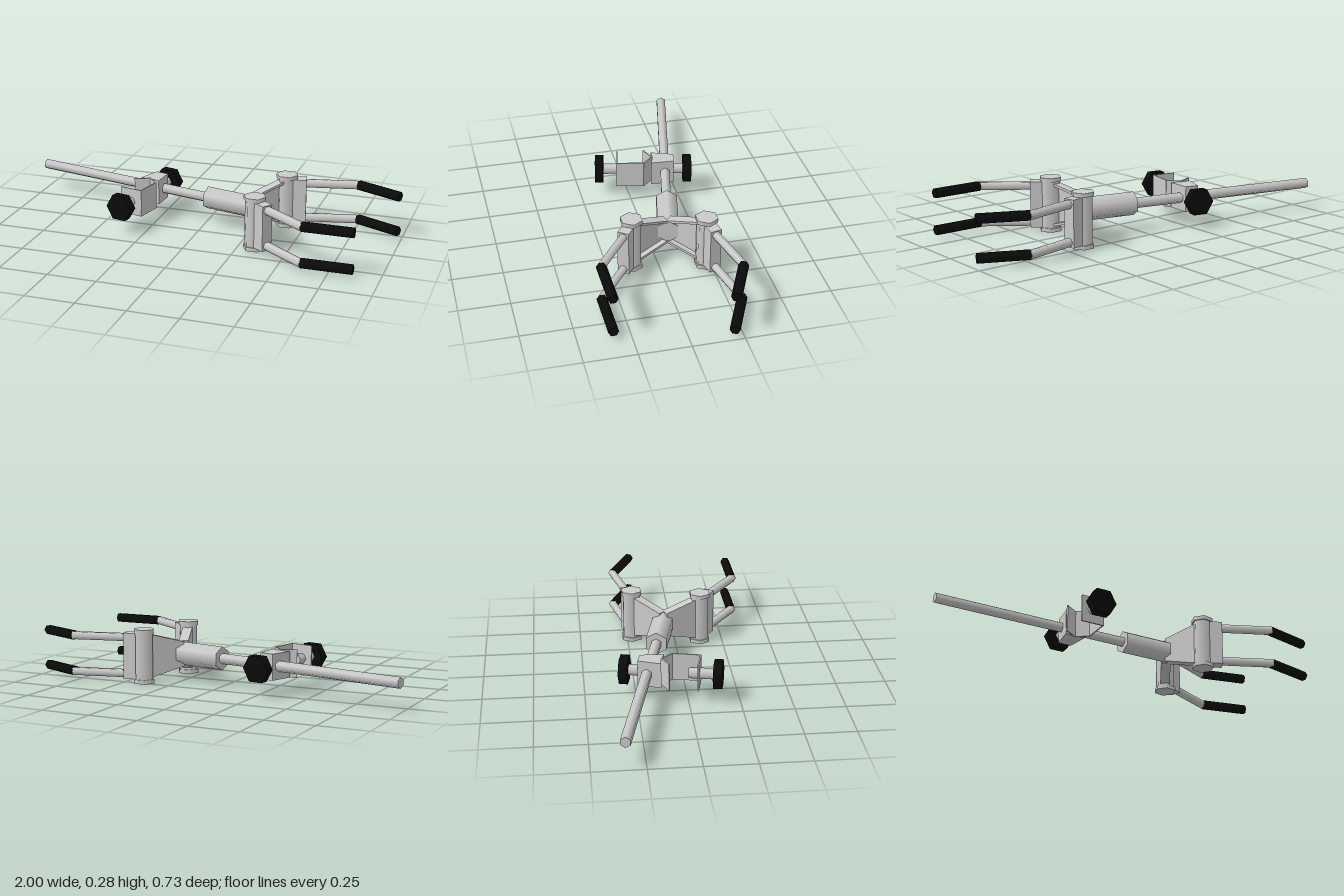
import * as THREE from 'three';

const grey = new THREE.MeshStandardMaterial({ color: 0xcccccc });
const black = new THREE.MeshStandardMaterial({ color: 0x0b0b0b });
const MID = 0.1375; // height of the rod axis
const TILT = 0.214; // heading of the rod in plan

function add(parent, name, geometry, material = grey) {
  const mesh = new THREE.Mesh(geometry, material);
  mesh.name = name;
  parent.add(mesh);
  return mesh;
}

// Six-sided bar between two points; phase turns the hexagon about its axis
function bar(parent, name, a, b, r, phase = 0, material = grey) {
  const from = new THREE.Vector3(...a), to = new THREE.Vector3(...b);
  const geometry = new THREE.CylinderGeometry(r, r, from.distanceTo(to), 6);
  geometry.rotateY(phase).rotateX(Math.PI / 2);
  const mesh = add(parent, name, geometry, material);
  mesh.position.copy(from).add(to).multiplyScalar(0.5);
  mesh.lookAt(to);
  return mesh;
}

// Flat outline [x, z] raised to a height, centred on y = 0
function slab(outline, height) {
  const shape = new THREE.Shape(outline.map(([x, z]) => new THREE.Vector2(x, -z)));
  const geometry = new THREE.ExtrudeGeometry(shape, { depth: height, bevelEnabled: false });
  return geometry.rotateX(-Math.PI / 2).translate(0, -height / 2, 0);
}

// Jaw plate part: a box whose upper and lower limits widen along x
function flared(length, thickness, z, low, high) {
  const geometry = new THREE.BoxGeometry(length, 1, thickness).translate(length / 2, 0, z);
  const p = geometry.attributes.position;
  for (let i = 0; i < p.count; i++) {
    const ends = p.getY(i) < 0 ? low : high;
    p.setY(i, THREE.MathUtils.lerp(ends[0], ends[1], p.getX(i) / length));
  }
  geometry.computeVertexNormals();
  return geometry;
}

function makeJaw(name, root, pivot, bend, tip) {
  const jaw = new THREE.Group();
  jaw.name = name;
  const dx = pivot[0] - root[0], dz = pivot[1] - root[1];
  const length = Math.hypot(dx, dz);
  const inner = -Math.sign(dz);

  // Flared plate with a rim along its top and bottom
  const arm = new THREE.Group();
  arm.name = 'jawArm';
  arm.position.set(root[0], MID, root[1]);
  arm.rotation.y = -Math.atan2(dz, dx);
  add(arm, 'armWeb', flared(length, 0.022, -inner * 0.014, [-0.06, -0.115], [0.06, 0.115]));
  add(arm, 'upperRim', flared(length, 0.05, 0, [0.05, 0.105], [0.063, 0.118]));
  add(arm, 'lowerRim', flared(length, 0.05, 0, [-0.063, -0.118], [-0.05, -0.105]));
  jaw.add(arm);

  // Hinge barrel with caps
  const [px, pz] = pivot;
  const barrel = add(jaw, 'hingeBarrel', new THREE.CylinderGeometry(0.05, 0.05, 0.236, 6).rotateY(Math.PI / 6));
  barrel.position.set(px, MID, pz);
  for (const s of [-1, 1]) {
    const cap = add(jaw, 'hingeCap', new THREE.CylinderGeometry(0.057, 0.057, 0.02, 6).rotateY(Math.PI / 6));
    cap.position.set(px, MID + s * 0.1275, pz);
  }

  // Finger block and the two bent fingers with dark sleeves
  const angle = Math.atan2(bend[1] - pz, bend[0] - px);
  const c = Math.cos(angle), s = Math.sin(angle);
  const block = add(jaw, 'fingerBlock', new THREE.BoxGeometry(0.1, 0.234, 0.058).translate(0.05, 0, 0));
  block.position.set(px, MID, pz);
  block.rotation.y = -angle;
  for (const y of [0.045, 0.23]) {
    bar(jaw, 'finger', [px + c * 0.08, y, pz + s * 0.08], [bend[0] + c * 0.012, y, bend[1] + s * 0.012], 0.022, Math.PI / 6);
    bar(jaw, 'fingerSleeve', [bend[0], y, bend[1]], [tip[0], y, tip[1]], 0.025, Math.PI / 6, black);
  }
  return jaw;
}

function makeRodClamp() {
  const clamp = new THREE.Group();
  clamp.name = 'rodClamp';

  // Tapered body around the rod
  add(clamp, 'clampBody', slab([[-0.035, -0.045], [0.035, -0.045], [0.053, 0.073], [0, 0.066], [-0.053, 0.073]], 0.13));

  // Bent sheet hook: V seat, side and end plate
  const path = [[-0.066, 0.113], [0, 0.069], [0.06, 0.113], [0.06, 0.252], [-0.056, 0.252]];
  for (let i = 0; i < path.length - 1; i++) {
    const [a, b] = [path[i], path[i + 1]];
    const plate = add(clamp, 'hookPlate', new THREE.BoxGeometry(Math.hypot(b[0] - a[0], b[1] - a[1]) + 0.005, 0.14, 0.007));
    plate.position.set((a[0] + b[0]) / 2, 0, (a[1] + b[1]) / 2);
    plate.rotation.y = -Math.atan2(b[1] - a[1], b[0] - a[0]);
  }

  // Screws and hexagonal knobs
  bar(clamp, 'rearScrew', [0, 0, -0.1], [0, 0, -0.04], 0.027, Math.PI / 6);
  bar(clamp, 'frontScrew', [0, 0, 0.2], [0, 0, 0.335], 0.027, Math.PI / 6);
  bar(clamp, 'rearKnob', [0, 0, -0.137], [0, 0, -0.093], 0.0725, Math.PI / 6, black);
  bar(clamp, 'frontKnob', [0, 0, 0.323], [0, 0, 0.367], 0.0725, Math.PI / 6, black);

  clamp.position.set(-0.291, MID, -0.192);
  clamp.rotation.y = -TILT;
  return clamp;
}

export function createModel() {
  const model = new THREE.Group();
  model.name = 'laboratoryClamp';
  const onAxis = (x) => [x, MID, -0.128 + 0.217 * x];
  bar(model, 'rod', onAxis(-0.995), onAxis(0.05), 0.027);
  bar(model, 'sleeve', onAxis(0.01), onAxis(0.285), 0.06);
  model.add(makeRodClamp());
  model.add(makeJaw('frontJaw', [0.262, -0.06], [0.333, 0.13], [0.62, 0.337], [0.875, 0.335]));
  model.add(makeJaw('rearJaw', [0.262, -0.072], [0.4, -0.226], [0.757, -0.305], [0.985, -0.203]));
  return model;
}
